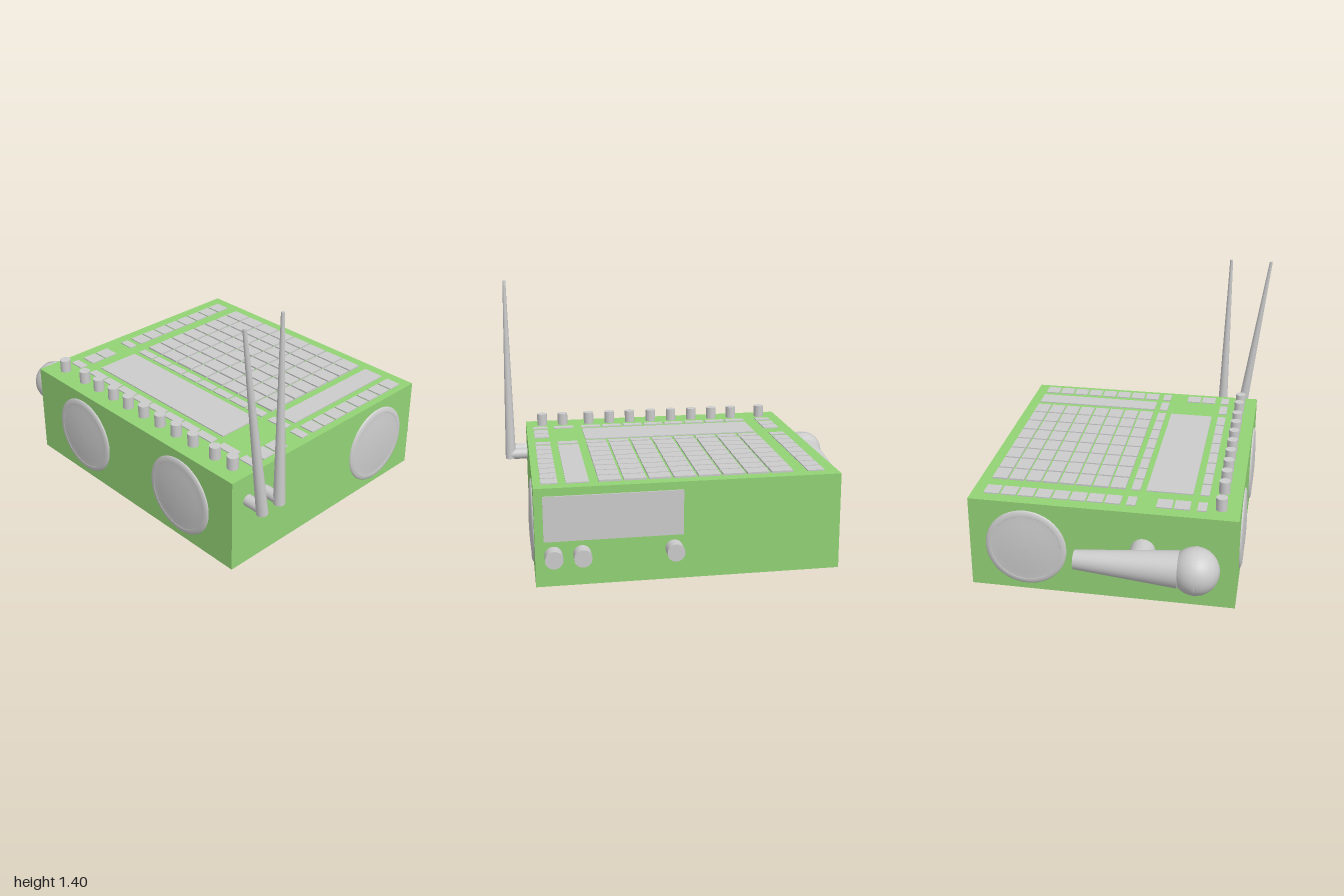
import * as THREE from 'three';

const grey = new THREE.MeshStandardMaterial({ color: 0xcccccc });
const green = new THREE.MeshStandardMaterial({ color: 0x92d275 });

export function createModel() {
  const root = new THREE.Group();
  const X0 = -0.73, X1 = 0.695, Z0 = -0.727, Z1 = 0.867, TOP = 0.52;

  function add(name, geometry, x = 0, y = 0, z = 0, material = grey) {
    const mesh = new THREE.Mesh(geometry, material);
    mesh.name = name;
    mesh.position.set(x, y, z);
    root.add(mesh);
    return mesh;
  }
  // Box given by its minimum and maximum corners
  function slab(name, x0, x1, y0, y1, z0, z1, material) {
    return add(name, new THREE.BoxGeometry(x1 - x0, y1 - y0, z1 - z0),
      (x0 + x1) / 2, (y0 + y1) / 2, (z0 + z1) / 2, material);
  }
  // Tapered round bar between two points
  function bar(name, a, b, ra, rb, sides = 24) {
    const p = new THREE.Vector3(...a), q = new THREE.Vector3(...b);
    const d = q.clone().sub(p);
    const mesh = add(name, new THREE.CylinderGeometry(rb, ra, d.length(), sides));
    mesh.position.copy(p).add(q).multiplyScalar(0.5);
    mesh.quaternion.setFromUnitVectors(new THREE.Vector3(0, 1, 0), d.normalize());
    return mesh;
  }

  // Case
  slab('case', X0, X1, 0, TOP, Z0, Z1, green);

  // Speakers: rounded rim around a shallow domed cone
  const rim = [[0.222, -0.005], [0.22, 0.003], [0.213, 0.008], [0.2, 0.012], [0.19, 0.012]];
  const dome = [[0.19, 0.012], [0.188, 0.01], [0.15, 0.014], [0.1, 0.018], [0.05, 0.02], [0, 0.021]];
  const lathe = pts => new THREE.LatheGeometry(
    pts.map(p => new THREE.Vector2(...p)), 48);
  const rimGeo = lathe(rim), domeGeo = lathe(dome);
  function speaker(x, z, nx, nz) {
    const dir = new THREE.Vector3(nx, 0, nz);
    for (const [name, geo] of [['speakerRim', rimGeo], ['speakerCone', domeGeo]]) {
      add(name, geo, x, 0.255, z)
        .quaternion.setFromUnitVectors(new THREE.Vector3(0, 1, 0), dir);
    }
  }
  speaker(0.388, Z1, 0, 1);
  speaker(0.388, Z0, 0, -1);
  speaker(X0, -0.32, -1, 0);
  speaker(X0, 0.48, -1, 0);

  // Top panel: plates, buttons and key grid
  const plate = (name, x0, x1, z0, z1, h = 0.006) =>
    slab(name, x0, x1, TOP - 0.005, TOP + h, z0, z1);
  const columns = Array.from({ length: 8 }, (_, i) => -0.106 + i * 0.0932);
  const rows = Array.from({ length: 8 }, (_, i) => -0.487 + i * 0.1292);
  const keyW = 0.082, keyD = 0.116;
  const narrow = [[-0.556, -0.508], [-0.186, -0.138]];

  for (const z of rows) {
    for (const x of columns) plate('key', x, x + keyW, z, z + keyD, 0.01);
    for (const [a, b] of narrow) plate('sideButton', a, b, z, z + keyD);
  }
  for (const [z0, z1] of [[-0.656, -0.566], [0.741, 0.826]]) {
    for (const x of columns) plate('rowButton', x, x + keyW, z0, z1);
    for (const x of [-0.47, -0.377]) plate('rowButton', x, x + keyW, z0, z1);
    for (const [a, b] of narrow) plate('rowButton', a, b, z0, z1);
  }
  for (const [a, b] of narrow) plate('sideButton', a, b, 0.582, 0.7);
  plate('displayPanel', -0.47, -0.219, -0.487, 0.533);
  plate('touchStrip', -0.106, 0.63, 0.582, 0.7);

  // Top knobs
  for (const z of [-0.612, -0.428, -0.3, -0.17, -0.04, 0.09, 0.222, 0.35, 0.48, 0.642, 0.768])
    bar('topKnob', [-0.63, TOP - 0.01, z], [-0.63, 0.59, z], 0.03, 0.03);

  // Side screen and side knobs
  slab('sideScreen', X1 - 0.01, 0.703, 0.24, 0.478, 0.107, 0.823);
  for (const z of [0.775, 0.63, 0.158])
    bar('sideKnob', [X1 - 0.01, 0.166, z], [0.77, 0.166, z], 0.046, 0.046, 32);

  // Antennas on short horizontal sockets
  for (const [x, tipX] of [[-0.623, -0.765], [-0.503, -0.521]]) {
    bar('antennaSocket', [x, 0.375, Z1 - 0.01], [x, 0.375, 0.965], 0.031, 0.031);
    bar('antenna', [x, 0.35, 0.968], [tipX, 1.402, 0.968], 0.031, 0.009);
  }

  // Microphone on the back
  const my = 0.303, mz = -0.876;
  bar('microphoneMount', [-0.24, my, Z0 + 0.01], [-0.24, my, -0.85], 0.066, 0.066, 32);
  bar('microphoneHandle', [-0.445, my, mz], [0.093, my, mz], 0.096, 0.05, 32);
  add('microphoneHead', new THREE.SphereGeometry(0.123, 32, 24), -0.53, my, mz);
  bar('microphoneBand', [-0.536, my, mz], [-0.524, my, mz], 0.125, 0.125, 40);

  return root;
}
